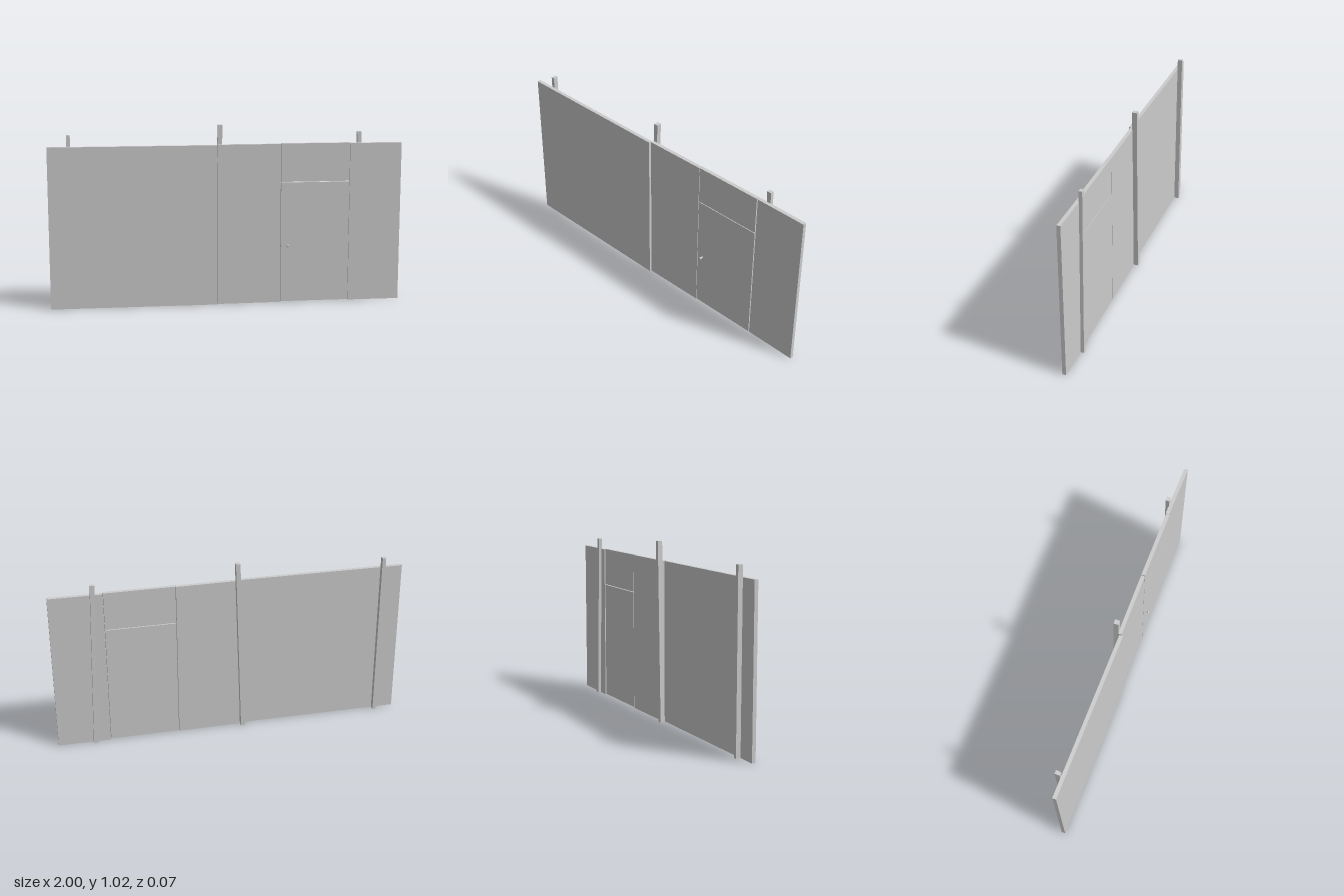
import * as THREE from 'three';

const material = new THREE.MeshStandardMaterial({ color: 0xcccccc, flatShading: true });

function add(group, name, geometry) {
  const mesh = new THREE.Mesh(geometry, material);
  mesh.name = name;
  group.add(mesh);
  return mesh;
}

// Upright board whose back face runs from depth z0 (at x0) to z1 (at x1)
function board(group, name, x0, x1, y0, y1, z0, z1, thickness = 0.021) {
  const g = new THREE.BoxGeometry(x1 - x0, y1 - y0, thickness);
  g.translate((x0 + x1) / 2, (y0 + y1) / 2, thickness / 2);
  const p = g.attributes.position;
  for (let i = 0; i < p.count; i++) {
    const t = (p.getX(i) - x0) / (x1 - x0);
    p.setZ(i, p.getZ(i) + z0 + (z1 - z0) * t);
  }
  g.computeVertexNormals();
  return add(group, name, g);
}

// Square post leaning sideways from xBottom to xTop
function post(group, name, xBottom, xTop, height, width, zBack, zFront) {
  const g = new THREE.BoxGeometry(width, height, zFront - zBack);
  g.translate(0, height / 2, (zBack + zFront) / 2);
  const p = g.attributes.position;
  for (let i = 0; i < p.count; i++) {
    p.setX(i, p.getX(i) + xBottom + (xTop - xBottom) * p.getY(i) / height);
  }
  g.computeVertexNormals();
  return add(group, name, g);
}

export function createModel() {
  const group = new THREE.Group();
  group.name = 'woodenFence';

  // Boards, each set at a slightly different angle
  board(group, 'wideBoard', -1, -0.061, 0, 0.914, -0.009, 0.001);
  board(group, 'middleBoard', -0.056, 0.303, 0, 0.915, -0.009, -0.009);
  board(group, 'endBoard', 0.703, 1, 0, 0.914, -0.011, -0.006);

  // Door with the fixed board above it
  board(group, 'door', 0.306, 0.7, 0.004, 0.695, -0.009, -0.007);
  board(group, 'boardAboveDoor', 0.306, 0.7, 0.699, 0.917, -0.009, -0.007);

  // Posts behind the boards
  post(group, 'rightPost', -0.882, -0.882, 0.977, 0.02, -0.035, -0.008);
  post(group, 'middlePost', -0.071, -0.038, 1.025, 0.025, -0.035, -0.008);
  post(group, 'leftPost', 0.79, 0.757, 0.977, 0.025, -0.028, -0.008);

  // Door knob on a short stem
  const profile = [[0, 0], [0.004, 0], [0.004, 0.013], [0.008, 0.017], [0.0085, 0.021], [0.006, 0.025], [0, 0.026]]
    .map(([r, y]) => new THREE.Vector2(r, y));
  const knob = add(group, 'doorKnob', new THREE.LatheGeometry(profile, 12));
  knob.rotation.x = Math.PI / 2;
  knob.position.set(0.343, 0.333, 0.011);

  return group;
}
